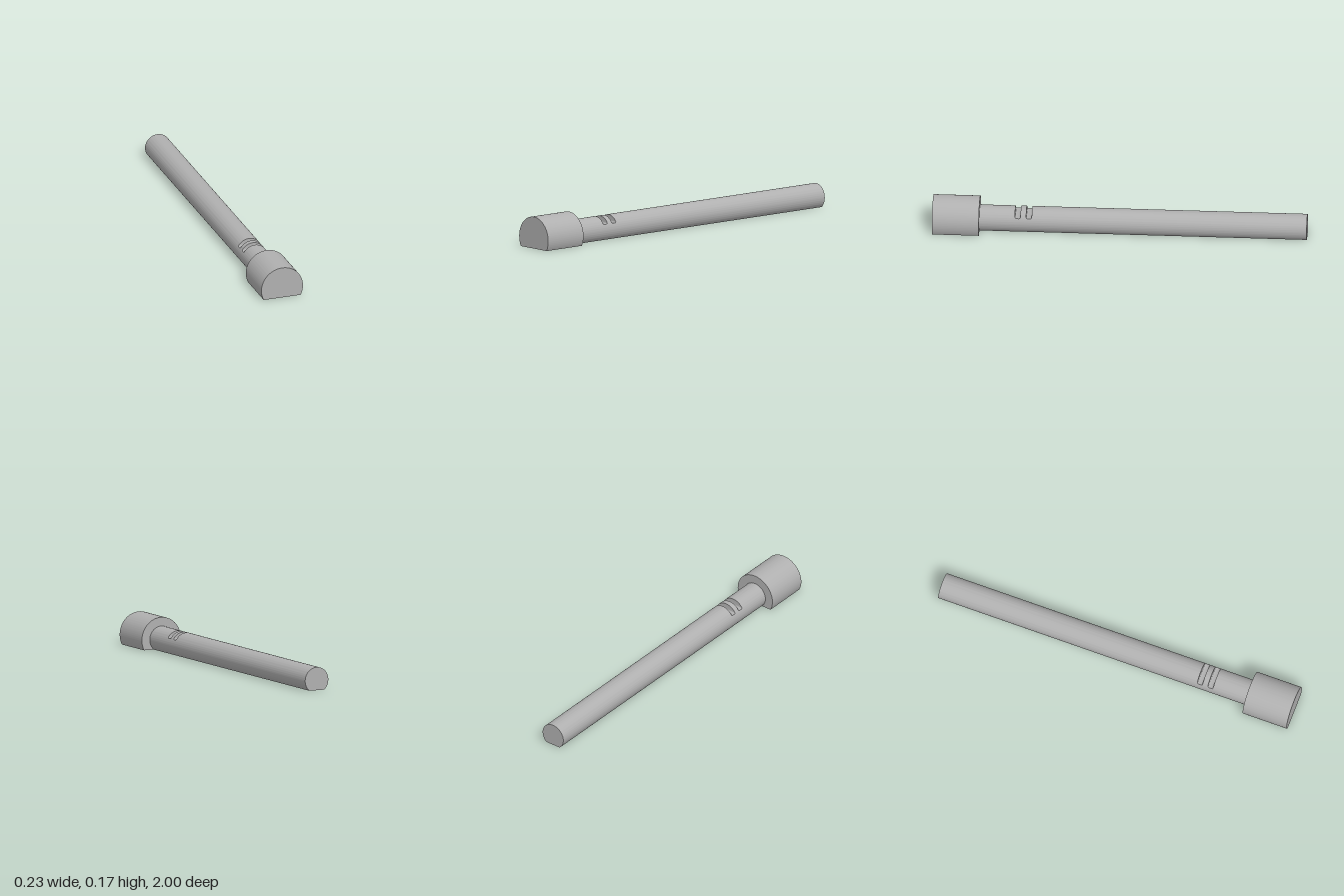
import * as THREE from 'three';
import { toCreasedNormals } from 'three/addons/utils/BufferGeometryUtils.js';

const AXIS_Y = 0.054; // height of the common axis above the flat underside
const SEGMENTS = 96;

// Round bar with a flat underside, lofted along z.
// Each station is [z, cut]: everything above the height cut is removed.
function flattedBar(radius, stations) {
  const start = -Math.asin(AXIS_Y / radius);
  const sweep = Math.PI - 2 * start;
  const rings = stations.map(([z, cut]) => {
    const ring = [];
    for (let i = 0; i <= SEGMENTS; i++) {
      const a = start + (sweep * i) / SEGMENTS;
      const y = Math.min(AXIS_Y + radius * Math.sin(a), cut);
      ring.push([radius * Math.cos(a), y, z]);
    }
    return ring;
  });
  const pos = [];
  const n = SEGMENTS + 1;
  const first = rings[0], last = rings[rings.length - 1];
  for (let i = 0; i < n; i++) {
    const j = (i + 1) % n;
    // skin between neighbouring stations
    for (let s = 0; s + 1 < rings.length; s++) {
      const p = rings[s], q = rings[s + 1];
      pos.push(...p[i], ...p[j], ...q[j], ...p[i], ...q[j], ...q[i]);
    }
    // end caps
    pos.push(0, AXIS_Y, first[0][2], ...first[j], ...first[i]);
    pos.push(0, AXIS_Y, last[0][2], ...last[i], ...last[j]);
  }
  const geometry = new THREE.BufferGeometry();
  geometry.setAttribute('position', new THREE.Float32BufferAttribute(pos, 3));
  return toCreasedNormals(geometry, 0.5);
}

// Stations of one cross slot with rounded floor corners
function slot(z0, z1) {
  const top = 1, floor = 0.087, r = 0.008, steps = 4;
  const side = [];
  for (let i = 0; i <= steps; i++) {
    const a = (i / steps) * Math.PI / 2;
    side.push([r - r * Math.cos(a), floor + r - r * Math.sin(a)]);
  }
  return [
    [z0, top],
    ...side.map(([d, y]) => [z0 + d, y]),
    ...side.slice().reverse().map(([d, y]) => [z1 - d, y]),
    [z1, top],
  ];
}

export function createModel() {
  const group = new THREE.Group();
  group.name = 'flattedPin';
  const steel = new THREE.MeshStandardMaterial({ color: 0xb0b0b0 });
  steel.name = 'steel gray';

  // Long shaft with two slots near the head
  const shaft = new THREE.Mesh(
    flattedBar(0.07, [[-1, 1], ...slot(0.47, 0.5), ...slot(0.53, 0.56), [0.75, 1]]),
    steel
  );
  shaft.name = 'shaft';

  // Wider head at the front
  const head = new THREE.Mesh(flattedBar(0.1175, [[0.75, 1], [1, 1]]), steel);
  head.name = 'head';

  group.add(shaft, head);
  return group;
}
